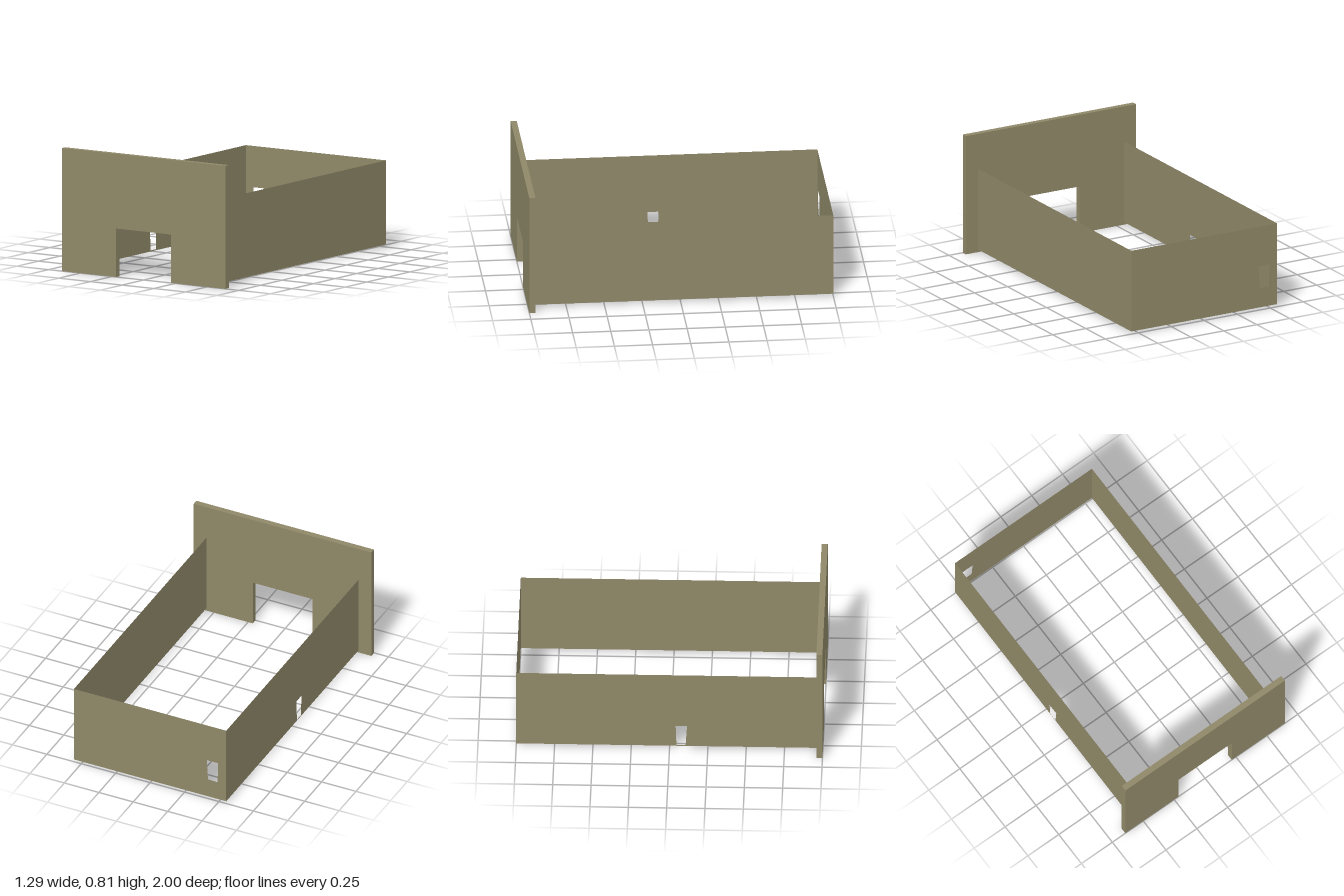
import * as THREE from 'three';

const solid = new THREE.MeshStandardMaterial({ color: 0x8f8868 });
const sheet = new THREE.MeshStandardMaterial({ color: 0x8f8868, side: THREE.DoubleSide });

const BOTTOM = 0.018, TOP = 0.573;   // wall heights
const BACK = -1, FRONT = 0.96;       // wall ends in z
const SIDE = 0.553;                  // wall distance from the middle

const outline = (points) => points.map(([x, y]) => new THREE.Vector2(x, y));

// Thin upright wall in the XY plane, with an optional window
function wall(name, from, to, hole) {
  const shape = new THREE.Shape(outline([[from, BOTTOM], [to, BOTTOM], [to, TOP], [from, TOP]]));
  if (hole) shape.holes.push(new THREE.Path(outline(hole)));
  const mesh = new THREE.Mesh(new THREE.ShapeGeometry(shape), sheet);
  mesh.name = name;
  return mesh;
}

export function createModel() {
  const group = new THREE.Group();
  group.name = 'walledEnclosure';

  // Thick front panel with a doorway cut up from the ground
  const facade = new THREE.Shape(outline([
    [-0.645, 0], [-0.216, 0], [-0.216, 0.32], [0.216, 0.32],
    [0.216, 0], [0.645, 0], [0.645, 0.813], [-0.645, 0.813],
  ]));
  const frontPanel = new THREE.Mesh(
    new THREE.ExtrudeGeometry(facade, { depth: 1 - FRONT, bevelEnabled: false }), solid);
  frontPanel.name = 'frontPanel';
  frontPanel.position.z = FRONT;

  // Back wall with a small, slightly tapered window near one corner
  const backWall = wall('backWall', -SIDE, SIDE,
    [[-0.49, 0.15], [-0.494, 0.3], [-0.412, 0.3], [-0.42, 0.15]]);
  backWall.position.z = BACK;

  // Side walls: drawn along -z, then turned so local x runs along -z
  const leftWall = wall('leftWall', -FRONT, -BACK);
  leftWall.position.x = SIDE;
  const rightWall = wall('rightWall', -FRONT, -BACK,
    [[-0.105, 0.025], [-0.114, 0.173], [-0.04, 0.173], [-0.045, 0.025]]);
  rightWall.position.x = -SIDE;
  for (const side of [leftWall, rightWall]) side.rotation.y = Math.PI / 2;

  group.add(frontPanel, backWall, leftWall, rightWall);
  return group;
}
